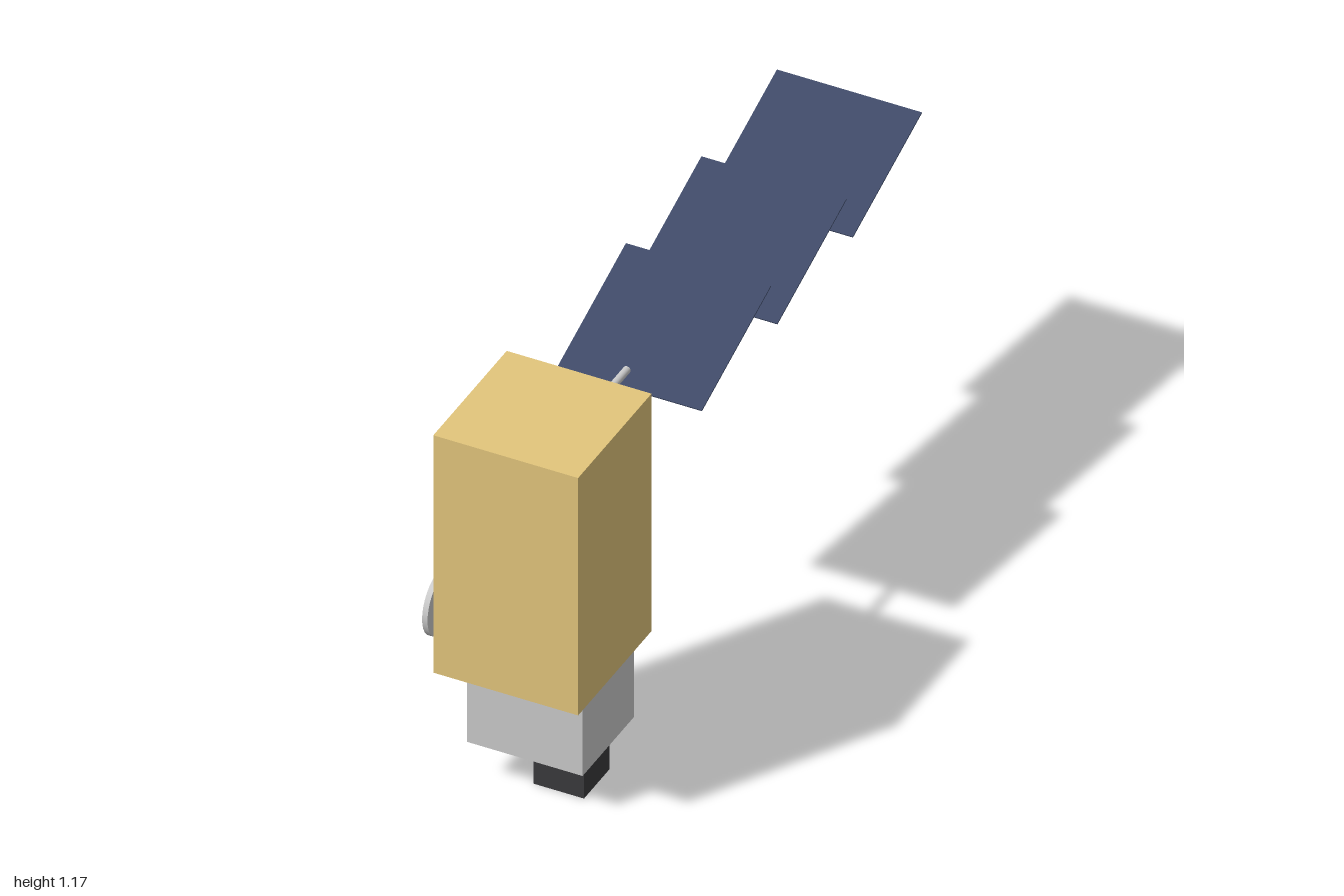
import * as THREE from 'three';

const paint = (color) => new THREE.MeshStandardMaterial({ color });
const gold = paint(0xe3c67c);
const grey = paint(0xcccccc);
const dark = paint(0x3a3a3d);
const navy = paint(0x3f4a68);

function part(name, geometry, material, x, y, z) {
  const mesh = new THREE.Mesh(geometry, material);
  mesh.name = name;
  mesh.position.set(x, y, z);
  return mesh;
}

// Box given by its lower and upper corners
function block(name, material, [x0, y0, z0], [x1, y1, z1]) {
  const geometry = new THREE.BoxGeometry(x1 - x0, y1 - y0, z1 - z0);
  return part(name, geometry, material, (x0 + x1) / 2, (y0 + y1) / 2, (z0 + z1) / 2);
}

export function createModel() {
  const model = new THREE.Group();
  model.name = 'satellite';

  // Stacked main body, instrument housing and sensor
  model.add(
    block('body', gold, [-0.2, 0.407, 0.565], [0.225, 1.172, 0.99]),
    block('instrumentHousing', grey, [-0.155, 0.13, 0.586], [0.184, 0.407, 0.883]),
    block('sensor', dark, [0.003, 0, 0.663], [0.151, 0.13, 0.81]),
  );

  // Antenna disc standing just off the right side
  const disc = part('antennaDisc', new THREE.CylinderGeometry(0.095, 0.095, 0.016, 32), grey, -0.22, 0.576, 0.905);
  disc.rotation.z = Math.PI / 2;
  model.add(disc);

  // Boom reaching back from the body
  const boom = part('boom', new THREE.CylinderGeometry(0.011, 0.011, 0.28, 16), grey, 0.0125, 1.003, 0.428);
  boom.rotation.x = Math.PI / 2;
  model.add(boom);

  // Row of three tilted solar panels
  const panelGeometry = new THREE.BoxGeometry(0.425, 0.004, 0.425);
  for (let i = 0; i < 3; i++) {
    const panel = part('solarPanel' + (i + 1), panelGeometry, navy, 0.0125, 1.003, 0.074 - i * 0.437);
    panel.rotation.x = THREE.MathUtils.degToRad(20);
    model.add(panel);
  }

  return model;
}
